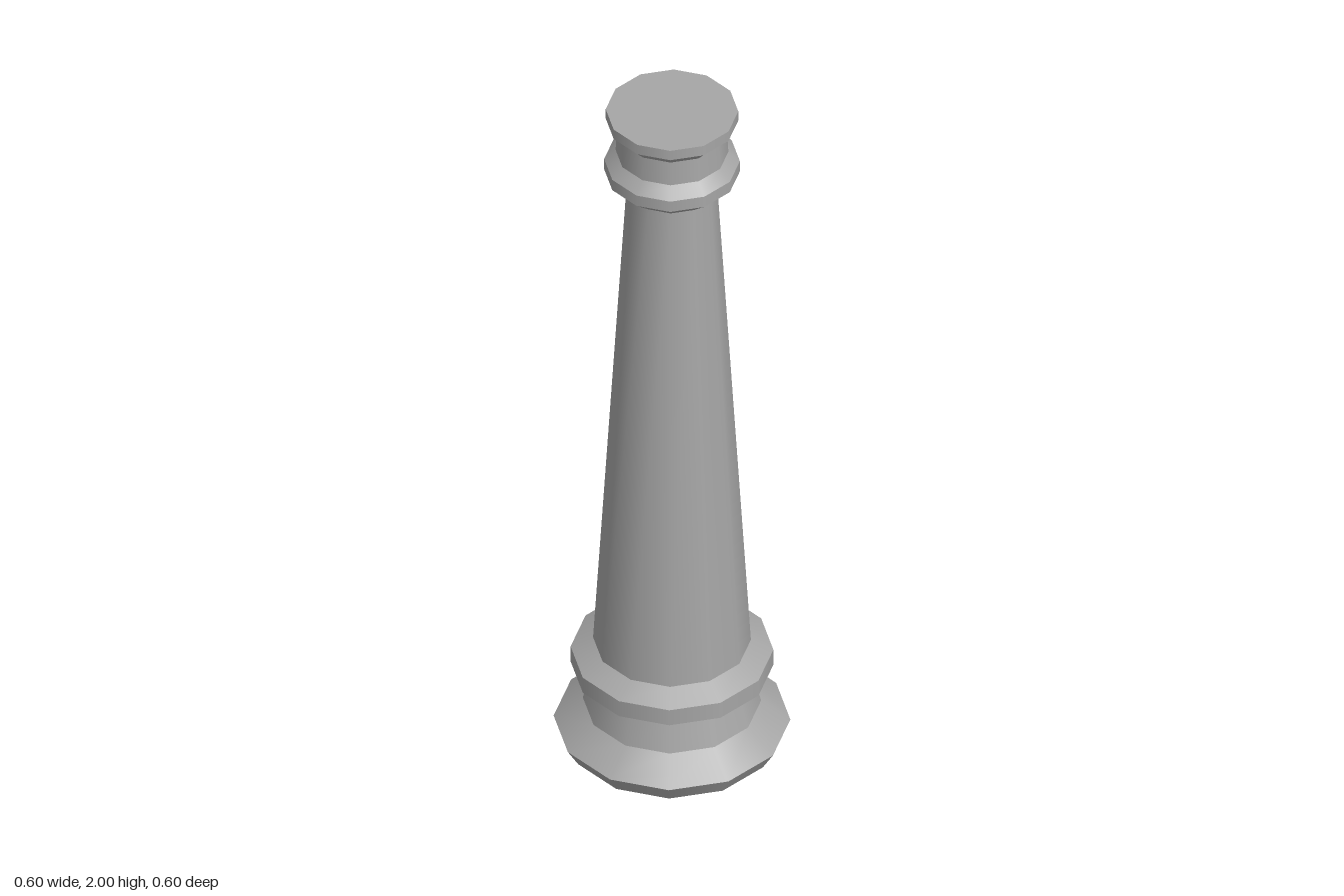
import * as THREE from 'three';
import { mergeGeometries } from 'three/addons/utils/BufferGeometryUtils.js';

const SIDES = 12;

// Stack of tapered bands through [radius, y] rings: smooth around, sharp between bands
function bands(rings) {
  const parts = [];
  for (let i = 0; i < rings.length - 1; i++) {
    const [r0, y0] = rings[i];
    const [r1, y1] = rings[i + 1];
    const band = new THREE.CylinderGeometry(r1, r0, y1 - y0, SIDES, 1, true);
    parts.push(band.translate(0, (y0 + y1) / 2, 0));
  }
  return mergeGeometries(parts);
}

// Flat end disc, facing up or down
function disc(radius, y, up) {
  const g = new THREE.CircleGeometry(radius, SIDES);
  return g.rotateX(up ? -Math.PI / 2 : Math.PI / 2).translate(0, y, 0);
}

export function createModel() {
  const stone = new THREE.MeshStandardMaterial({ color: 0xa6a6a6 });
  stone.name = 'grey stone';

  const column = new THREE.Group();
  column.name = 'column';
  const add = (name, geometry) => {
    const mesh = new THREE.Mesh(geometry, stone);
    mesh.name = name;
    column.add(mesh);
  };

  // Foot: flared plinth and tapering neck
  add('plinth', bands([[0.27, 0], [0.3, 0.05], [0.226, 0.11]]));
  add('plinthUnderside', disc(0.27, 0, false));
  add('baseNeck', bands([[0.226, 0.11], [0.205, 0.187]]));
  add('baseRing', bands([[0.205, 0.187], [0.257, 0.225], [0.257, 0.273], [0.2, 0.304]]));

  // Tapered shaft
  add('shaft', bands([[0.2, 0.304], [0.115, 1.758]]));

  // Capital: ring, neck and top slab
  add('capitalRing', bands([[0.115, 1.758], [0.172, 1.807], [0.172, 1.84], [0.143, 1.87]]));
  add('capitalNeck', bands([[0.143, 1.87], [0.139, 1.94]]));
  add('topSlab', bands([[0.139, 1.94], [0.168, 1.97], [0.168, 2]]));
  add('topFace', disc(0.168, 2, true));

  return column;
}
